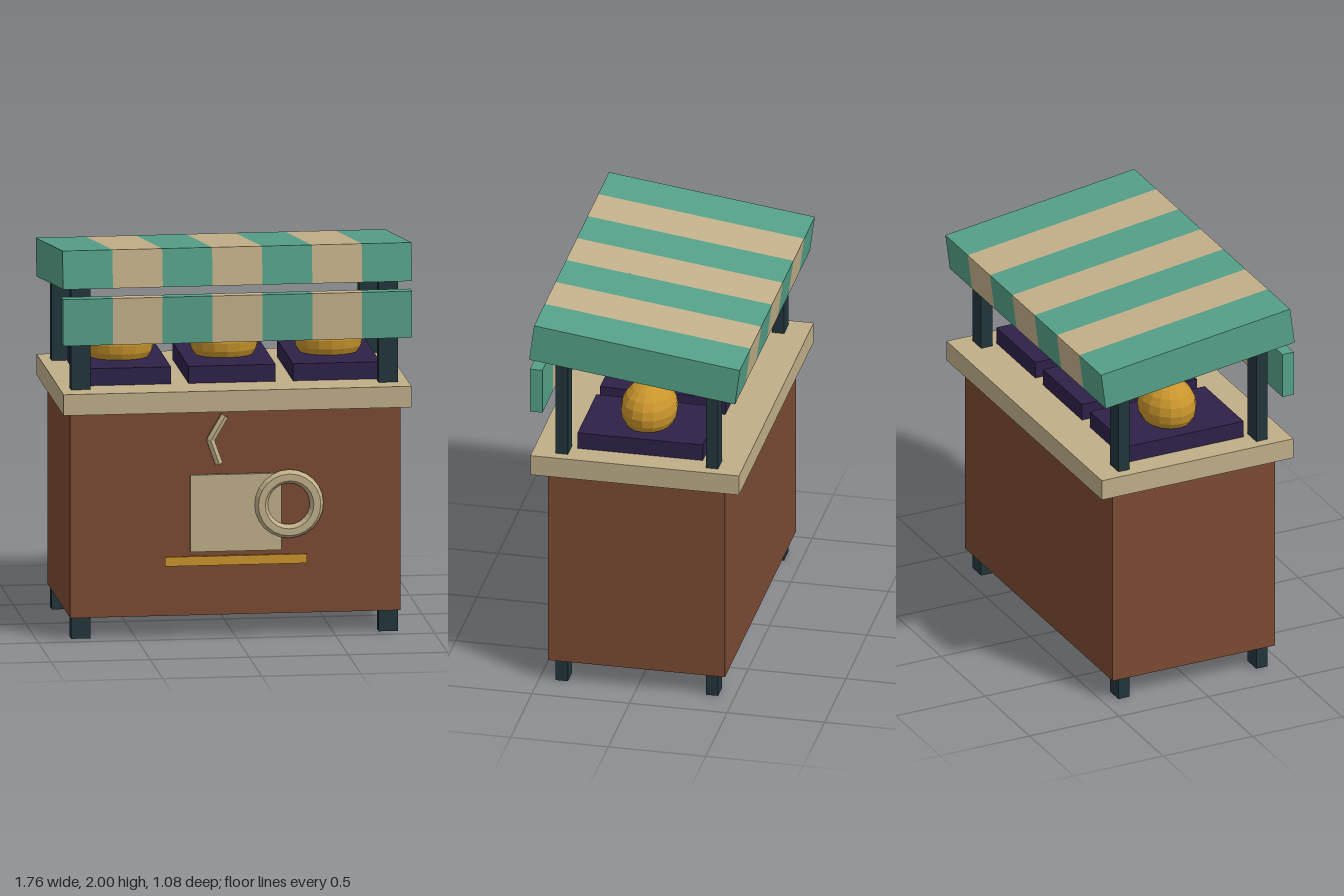
import * as THREE from 'three';

const mat = (name, color, opts = {}) => {
  const m = new THREE.MeshStandardMaterial({ color, ...opts });
  m.name = name;
  return m;
};

export function createModel() {
  const teal = mat('tealCanvas', 0x55a088);
  const cream = mat('creamCanvas', 0xc4b08a);
  const brown = mat('brownWood', 0x7a4a33);
  const dark = mat('darkMetal', 0x22363c);
  const purple = mat('purpleTray', 0x2e2148);
  const gold = mat('gold', 0xc9952c, { flatShading: true });
  const pale = mat('paleCounter', 0xbfae88, { flatShading: true });

  const stall = new THREE.Group();
  stall.name = 'marketStall';

  const add = (parent, name, geometry, material, x, y, z) => {
    const mesh = new THREE.Mesh(geometry, material);
    mesh.name = name;
    mesh.position.set(x, y, z);
    parent.add(mesh);
    return mesh;
  };
  const box = (parent, name, material, [w, h, d], [x, y, z]) =>
    add(parent, name, new THREE.BoxGeometry(w, h, d), material, x, y, z);

  // Cabinet and counter
  box(stall, 'cabinet', brown, [1.668, 1.05, 0.906], [0, 0.638, 0]);
  box(stall, 'counter', pale, [1.756, 0.107, 1.07], [0, 1.2165, 0]);

  // Corner posts: feet below the cabinet, uprights above the counter
  for (const sx of [-1, 1]) {
    for (const sz of [-1, 1]) {
      const side = (sz > 0 ? 'front' : 'back') + (sx > 0 ? 'Left' : 'Right');
      const top = sz > 0 ? 1.82 : 1.72;
      box(stall, side + 'Foot', dark, [0.097, 0.15, 0.062], [sx * 0.776, 0.075, sz * 0.385]);
      box(stall, side + 'Post', dark, [0.097, top - 1.25, 0.062],
        [sx * 0.776, (top + 1.25) / 2, sz * 0.385]);
    }
  }

  // Striped tilted roof and hanging front valance
  const roof = new THREE.Group();
  roof.name = 'roof';
  roof.position.set(0, 1.835, 0);
  roof.rotation.x = -0.13;
  const valance = new THREE.Group();
  valance.name = 'valance';
  valance.position.set(0, 1.637, 0.504);
  stall.add(roof, valance);
  const stripe = 1.762 / 7;
  for (let i = 0; i < 7; i++) {
    const m = i % 2 ? cream : teal;
    const x = (i - 3) * stripe;
    box(roof, 'roofStripe', m, [stripe, 0.194, 1.064], [x, 0, 0]);
    box(valance, 'valanceStripe', m, [stripe, 0.237, 0.064], [x, 0, 0]);
  }

  // Trays with a rounded loaf on each
  for (let i = -1; i <= 1; i++) {
    box(stall, 'tray', purple, [0.44, 0.087, 0.642], [i * 0.528, 1.3135, 0]);
    const loaf = add(stall, 'loaf', new THREE.SphereGeometry(0.143, 16, 10), gold, i * 0.528, 1.432, 0);
    loaf.scale.x = 1.22;
  }

  // Cup sign on the front
  const sign = new THREE.Group();
  sign.name = 'cupSign';
  stall.add(sign);
  box(sign, 'cup', pale, [0.46, 0.392, 0.016], [0, 0.636, 0.47]);
  box(sign, 'saucer', gold, [0.716, 0.047, 0.014], [0, 0.393, 0.471]);
  add(sign, 'cupHandle', new THREE.TorusGeometry(0.14, 0.035, 6, 24), pale, 0.267, 0.674, 0.475);

  // Bent wisp of steam made of two six-sided rods
  const steam = [[-0.06, 1.13], [-0.13, 1.01], [-0.088, 0.892]].map(([x, y]) => new THREE.Vector3(x, y, 0.478));
  for (let i = 0; i < 2; i++) {
    const dir = steam[i + 1].clone().sub(steam[i]);
    const mid = steam[i].clone().add(steam[i + 1]).multiplyScalar(0.5);
    const rod = add(sign, 'steam', new THREE.CylinderGeometry(0.022, 0.022, dir.length() + 0.008, 6),
      pale, mid.x, mid.y, mid.z);
    rod.quaternion.setFromUnitVectors(new THREE.Vector3(0, 1, 0), dir.normalize());
  }

  return stall;
}
